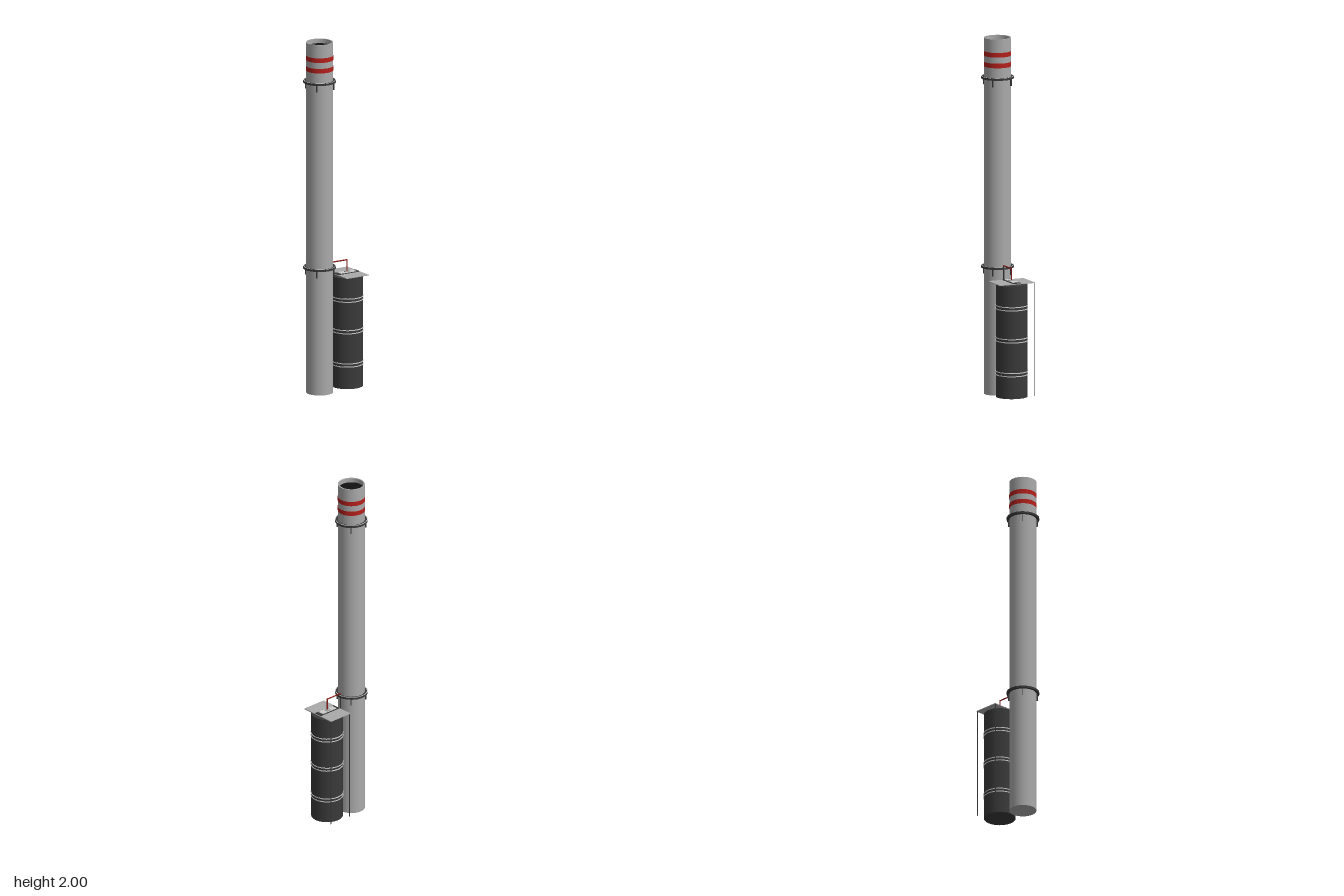
import * as THREE from 'three';

const mat = (color, extra = {}) => new THREE.MeshStandardMaterial({ color, ...extra });
const grey = mat(0xaaaaaa), light = mat(0xcccccc), dark = mat(0x3a3a3a);
const black = mat(0x111111), red = mat(0xb5201c), pipeRed = mat(0x8a1f1a);
const ringDark = mat(0x3a3a3a, { flatShading: true });

const CHIMNEY_X = -0.093, TANK_X = 0.09;

function add(parent, name, geometry, material, x = 0, y = 0, z = 0) {
  const mesh = new THREE.Mesh(geometry, material);
  mesh.name = name;
  mesh.position.set(x, y, z);
  parent.add(mesh);
  return mesh;
}

// Closed ring with a rectangular section, centred on y = 0
function band(inner, outer, height, sides) {
  const h = height / 2;
  const corners = [[inner, -h], [outer, -h], [outer, h], [inner, h], [inner, -h]];
  const points = [];
  // Each corner is doubled so that the edges stay sharp
  corners.forEach(([r, y], i) => {
    points.push(new THREE.Vector2(r, y));
    if (i > 0 && i < 4) points.push(new THREE.Vector2(r, y));
  });
  return new THREE.LatheGeometry(points, sides);
}

function buildChimney() {
  const chimney = new THREE.Group();
  chimney.name = 'chimney';
  chimney.position.x = CHIMNEY_X;

  // Shaft with a bottom cap, rim and recessed mouth
  const profile = [[0, 0], [0.075, 0], [0.075, 0], [0.075, 2], [0.075, 2], [0.068, 2], [0.068, 2], [0.068, 1.97]];
  add(chimney, 'shaft', new THREE.LatheGeometry(profile.map(p => new THREE.Vector2(...p)), 32), grey);
  const mouth = add(chimney, 'mouth', new THREE.CircleGeometry(0.068, 32), black, 0, 1.975);
  mouth.rotation.x = -Math.PI / 2;

  // Warning stripes
  for (const y of [1.852, 1.912]) add(chimney, 'warningStripe', band(0.074, 0.0757, 0.026, 32), red, 0, y);

  // Service rings on four brackets
  for (const y of [0.715, 1.777]) {
    add(chimney, 'serviceRing', band(0.074, 0.087, 0.01, 18), ringDark, 0, y);
    add(chimney, 'serviceRingRim', band(0.086, 0.091, 0.012, 18), ringDark, 0, y);
    add(chimney, 'serviceRingEdge', band(0.0865, 0.0905, 0.002, 18), light, 0, y + 0.006);
    for (let i = 0; i < 4; i++) {
      const angle = Math.PI / 4 + i * Math.PI / 2;
      const bracket = add(chimney, 'ringBracket', new THREE.BoxGeometry(0.01, 0.042, 0.005), dark,
        Math.cos(angle) * 0.078, y - 0.025, Math.sin(angle) * 0.078);
      bracket.rotation.y = -angle;
    }
  }
  return chimney;
}

function buildTank() {
  const tank = new THREE.Group();
  tank.name = 'tank';
  tank.position.x = TANK_X;
  add(tank, 'tankBody', new THREE.CylinderGeometry(0.088, 0.088, 0.632, 24), dark, 0, 0.329);

  // Paired hoops
  for (const y of [0.148, 0.338, 0.518]) {
    for (const d of [-0.009, 0.009]) add(tank, 'tankHoop', band(0.086, 0.0905, 0.005, 24), light, 0, y + d);
  }

  // Flat canopy on two rear posts
  add(tank, 'canopy', new THREE.BoxGeometry(0.147, 0.004, 0.216), grey, -0.002, 0.655);
  for (const side of [-1, 1]) {
    add(tank, 'canopyPost', new THREE.CylinderGeometry(0.0025, 0.0025, 0.635, 8), dark, -0.002 + side * 0.071, 0.337, -0.105);
  }

  // Hatch and pipe flange
  add(tank, 'hatchFrame', new THREE.BoxGeometry(0.14, 0.004, 0.046), dark, -0.002, 0.658);
  add(tank, 'hatchPlate', new THREE.BoxGeometry(0.103, 0.004, 0.036), light, -0.003, 0.661);
  add(tank, 'pipeFlange', new THREE.CylinderGeometry(0.017, 0.017, 0.006, 20), grey, -0.002, 0.664);
  return tank;
}

// Straight pipe between two points
function pipe(parent, name, from, to, material, radius) {
  const a = new THREE.Vector3(...from), b = new THREE.Vector3(...to);
  const mesh = add(parent, name, new THREE.CylinderGeometry(radius, radius, a.distanceTo(b) + radius, 10), material);
  mesh.position.copy(a).lerp(b, 0.5);
  mesh.quaternion.setFromUnitVectors(new THREE.Vector3(0, 1, 0), b.sub(a).normalize());
}

export function createModel() {
  const model = new THREE.Group();
  model.name = 'chimneyWithTank';
  model.add(buildChimney(), buildTank());

  // Feed pipe from the tank lid, down between tank and chimney
  const pipes = new THREE.Group();
  pipes.name = 'feedPipe';
  pipe(pipes, 'pipeRiser', [0.088, 0.66, 0], [0.088, 0.73, 0], pipeRed, 0.0035);
  pipe(pipes, 'pipeCrossing', [-0.012, 0.73, 0], [0.088, 0.73, 0], pipeRed, 0.0035);
  pipe(pipes, 'pipeDrop', [-0.012, 0.02, 0], [-0.012, 0.73, 0], dark, 0.0035);
  pipe(pipes, 'pipeFoot', [-0.025, 0.02, 0], [0.01, 0.02, 0], dark, 0.0035);
  model.add(pipes);
  return model;
}
